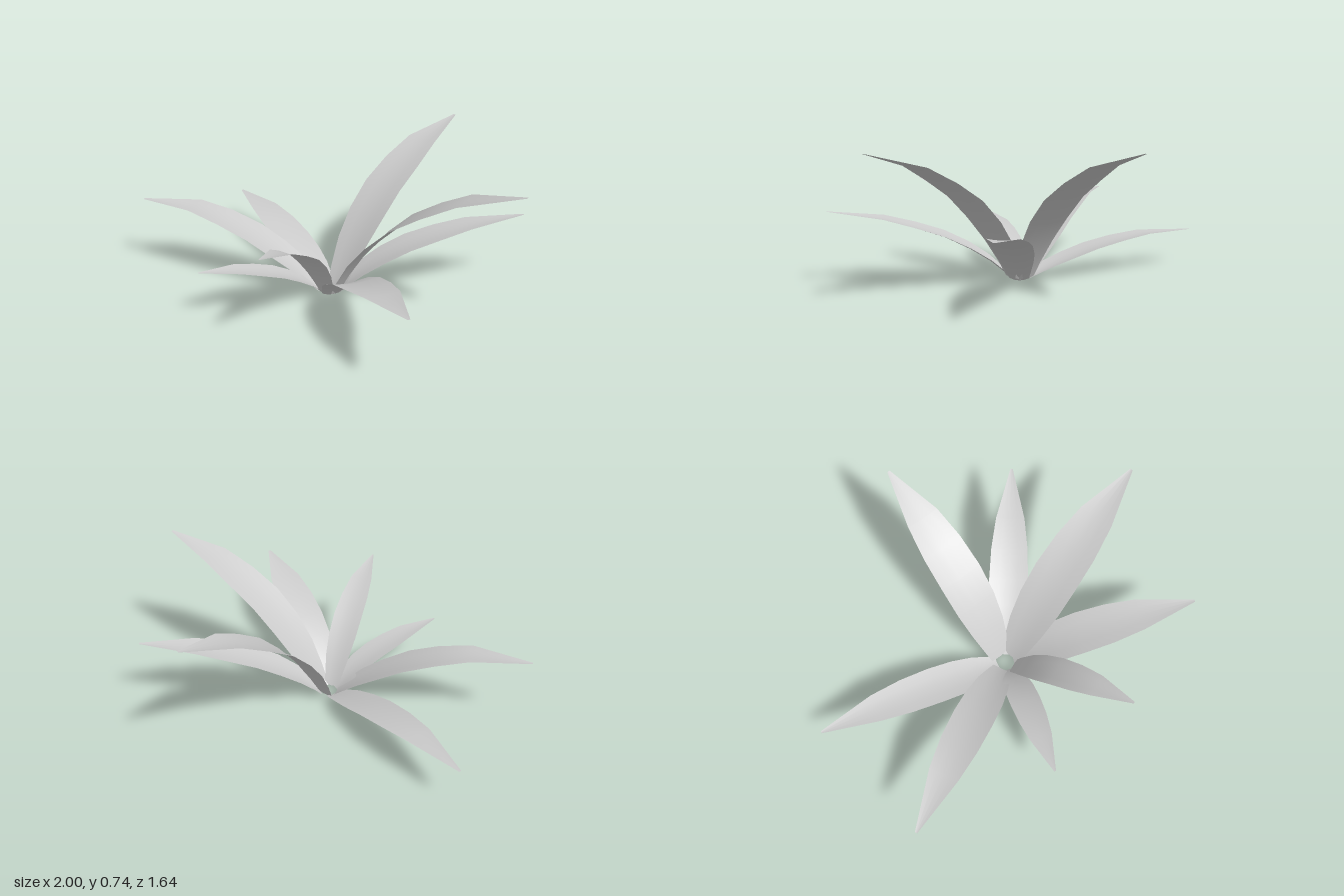
import * as THREE from 'three';

// Stations along a leaf: distance out, height (arched / flattened), half width, all as fractions
const OUT = [0, 0.04, 0.125, 0.235, 0.37, 0.53, 0.7, 1];
const ARCHED = [0.01, 0.11, 0.285, 0.46, 0.63, 0.765, 0.885, 1];
const FLATTENED = [0.02, 0.11, 0.29, 0.48, 0.69, 0.86, 0.985, 1];
const WIDTH = [0.5, 0.62, 0.83, 0.97, 1, 0.94, 0.74, 0.06];
const ACROSS = [-1, -0.5, 0, 0.5, 1];

const CROWN = { x: 0.03, z: 0.16, radius: 0.045 };

// Tip position, widest half width and height profile of each leaf
const LEAVES = [
  { name: 'backLeaf', tip: [0.01, 0.745, -0.82], half: 0.12, rise: ARCHED },
  { name: 'backLeftLeaf', tip: [0.65, 0.395, -0.62], half: 0.105, rise: ARCHED },
  { name: 'leftLeaf', tip: [1, 0.74, -0.1], half: 0.125, rise: ARCHED },
  { name: 'frontLeftLeaf', tip: [0.94, 0.395, 0.57], half: 0.115, rise: ARCHED },
  { name: 'frontInnerLeftLeaf', tip: [0.3, 0.51, 0.81], half: 0.08, rise: ARCHED },
  { name: 'frontInnerRightLeaf', tip: [-0.17, 0.27, 0.82], half: 0.08, rise: ARCHED },
  { name: 'frontRightLeaf', tip: [-0.895, 0.388, 0.665], half: 0.105, rise: FLATTENED },
  { name: 'rightLeaf', tip: [-1, 0.205, -0.06], half: 0.1, rise: FLATTENED },
];

// A thin, slightly cupped blade running from the crown to its tip
function leafGeometry({ tip, half, rise }) {
  const dir = new THREE.Vector2(tip[0] - CROWN.x, tip[2] - CROWN.z);
  const reach = dir.length() - CROWN.radius;
  dir.normalize();
  const positions = [];
  const indices = [];
  const columns = ACROSS.length;

  OUT.forEach((u, i) => {
    const r = CROWN.radius + u * reach;
    const w = half * WIDTH[i];
    const cup = w * (0.1 + 0.15 * (1 - u) ** 4);
    ACROSS.forEach((s) => {
      positions.push(
        CROWN.x + dir.x * r - dir.y * w * s,
        tip[1] * rise[i] + cup * s * s,
        CROWN.z + dir.y * r + dir.x * w * s,
      );
    });
  });

  for (let i = 0; i < OUT.length - 1; i++) {
    for (let j = 0; j < columns - 1; j++) {
      const a = i * columns + j;
      const b = a + columns;
      indices.push(a, a + 1, b, a + 1, b + 1, b);
    }
  }

  const geometry = new THREE.BufferGeometry();
  geometry.setAttribute('position', new THREE.Float32BufferAttribute(positions, 3));
  geometry.setIndex(indices);
  geometry.computeVertexNormals();
  return geometry;
}

export function createModel() {
  const plant = new THREE.Group();
  plant.name = 'leafRosette';
  const material = new THREE.MeshStandardMaterial({ color: 0xcccccc, side: THREE.DoubleSide });
  for (const leaf of LEAVES) {
    const mesh = new THREE.Mesh(leafGeometry(leaf), material);
    mesh.name = leaf.name;
    plant.add(mesh);
  }
  return plant;
}
